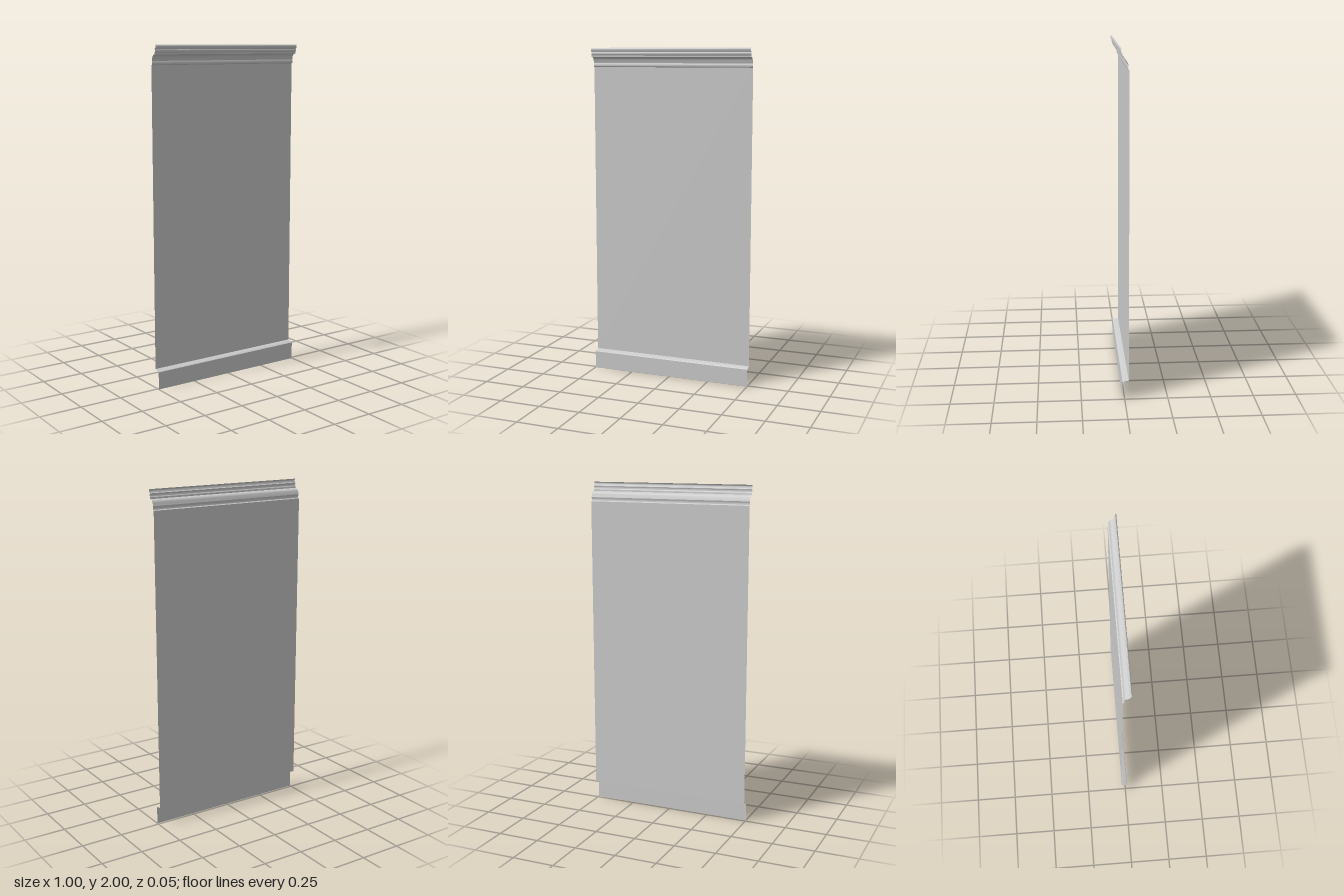
import * as THREE from 'three';
import { toCreasedNormals } from 'three/addons/utils/BufferGeometryUtils.js';

const WIDTH = 1;
const WALL_Z = -0.0235;
const material = new THREE.MeshStandardMaterial({ color: 0xcccccc, side: THREE.DoubleSide });

// Open sheet: a (z, y) profile, listed bottom to top, swept along x
function sweep(name, profile) {
  const geometry = new THREE.PlaneGeometry(WIDTH, 1, 1, profile.length - 1);
  const pos = geometry.attributes.position;
  for (let i = 0; i < pos.count; i++) {
    const [z, y] = profile[profile.length - 1 - Math.floor(i / 2)];
    pos.setXYZ(i, pos.getX(i), y, z);
  }
  const mesh = new THREE.Mesh(toCreasedNormals(geometry, 0.6), material);
  mesh.name = name;
  return mesh;
}

// Elliptical arc points between two angles in degrees
function arc(z, y, rz, ry, from, to, steps = 6) {
  return Array.from({ length: steps + 1 }, (_, i) => {
    const a = THREE.MathUtils.degToRad(from + ((to - from) * i) / steps);
    return [z + rz * Math.cos(a), y + ry * Math.sin(a)];
  });
}

export function createModel() {
  const group = new THREE.Group();
  group.name = 'wallPanel';

  // Skirting board with a sloped top edge
  group.add(sweep('baseboard', [
    [0.012, 0], [0.012, 0.105], [0.008, 0.109], [-0.018, 0.114], [WALL_Z, 0.116],
  ]));

  // Flat wall sheet
  group.add(sweep('wall', [[WALL_Z, 0.116], [WALL_Z, 1.886]]));

  // Crown moulding: small bead, cove, fillet and rounded top lip
  group.add(sweep('crownMoulding', [
    [WALL_Z, 1.886],
    [-0.018, 1.888],
    ...arc(-0.018, 1.897, 0.003, 0.009, -60, 60, 4),
    [-0.018, 1.91],
    ...arc(0.010, 1.912, 0.027, 0.034, 180, 90),
    [0.012, 1.946],
    [0.012, 1.956],
    ...arc(0.012, 1.966, 0.005, 0.009, -80, 60, 5),
    [0.015, 1.977],
    ...arc(0.0165, 1.989, 0.007, 0.011, -75, 90, 7),
  ]));

  return group;
}
